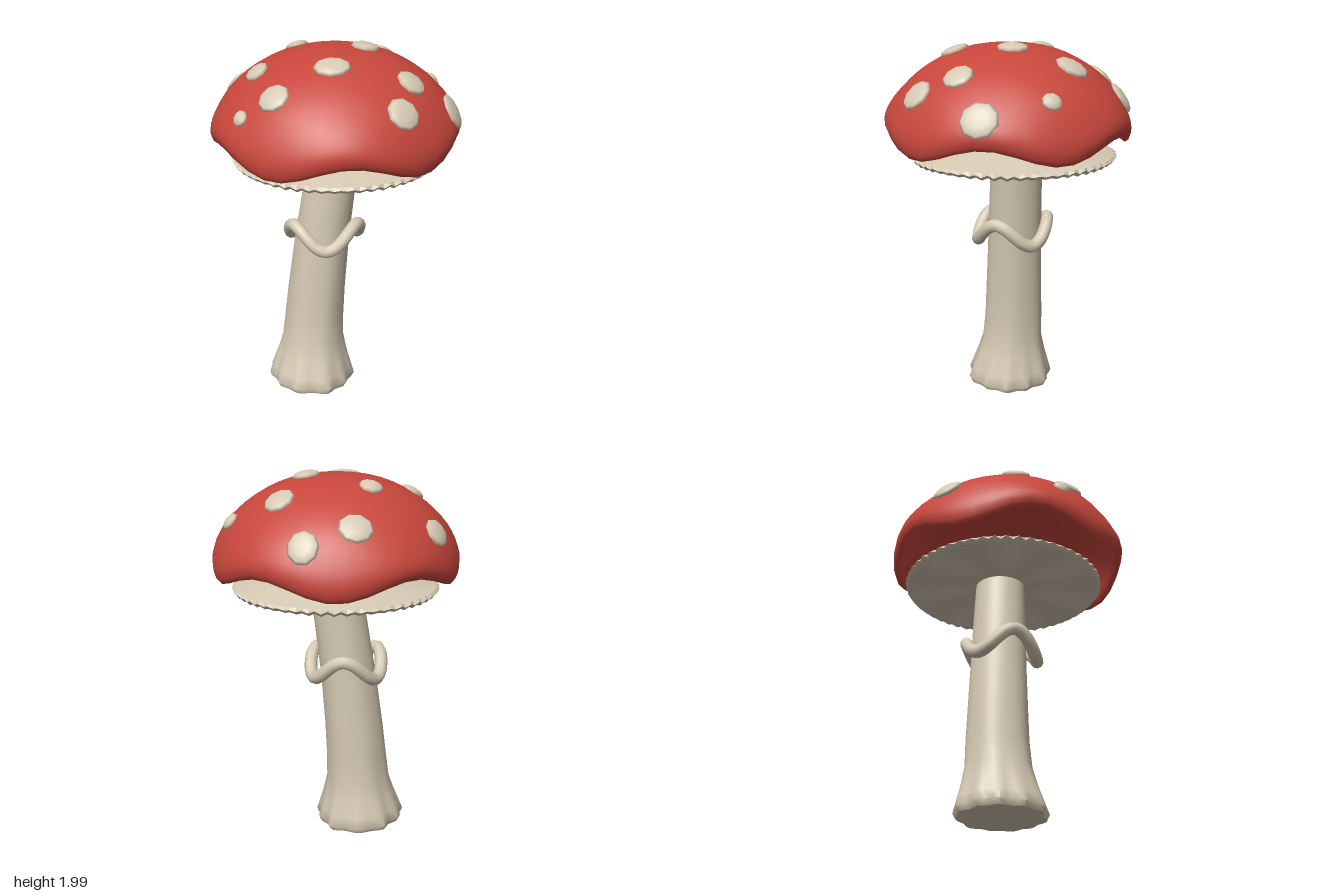
import * as THREE from 'three';
import { toCreasedNormals } from 'three/addons/utils/BufferGeometryUtils.js';

const red = new THREE.MeshStandardMaterial({ name: 'capRed', color: 0xc8473c });
const cream = new THREE.MeshStandardMaterial({ name: 'cream', color: 0xd5c9b3 });

const clamp = THREE.MathUtils.clamp;
const vec = ([x, y]) => new THREE.Vector2(x, y);

// Outer cap profile from lip to crown: radius, height
const capProfile = new THREE.SplineCurve([
  [0.643, 1.5], [0.657, 1.55], [0.64, 1.625], [0.575, 1.735], [0.465, 1.84],
  [0.32, 1.925], [0.17, 1.97], [0, 1.983],
].map(vec)).getPoints(18);

function mesh(name, geometry, material) {
  const m = new THREE.Mesh(geometry, material);
  m.name = name;
  return m;
}

// Lathe whose vertices are moved by rule(point, angle); angle runs from +x to +z
function shapedLathe(points, segments, crease, rule) {
  const geometry = new THREE.LatheGeometry(points, segments);
  const pos = geometry.attributes.position;
  const p = new THREE.Vector3();
  for (let i = 0; i < pos.count; i++) {
    p.fromBufferAttribute(pos, i);
    rule(p, Math.atan2(p.z, p.x), Math.hypot(p.x, p.z));
    pos.setXYZ(i, p.x, p.y, p.z);
  }
  return toCreasedNormals(geometry, crease);
}

// Hollow cap with five drooping lobes round its lip
function makeCap() {
  const inner = [[0, 1.93], [0.2, 1.915], [0.36, 1.85], [0.5, 1.74], [0.585, 1.62],
    [0.608, 1.53], [0.618, 1.5], [0.632, 1.49]].map(vec);
  const geometry = shapedLathe([...inner, ...capProfile], 40, 1.3, (p, a) => {
    const w = clamp((1.76 - p.y) / 0.25, 0, 1);
    const lobe = Math.cos(5 * (a - THREE.MathUtils.degToRad(50)));
    p.y -= 0.044 * w * lobe;
  });
  return mesh('cap', geometry, red);
}

// Height of the cap surface at a given radius
function capHeight(r) {
  for (let i = capProfile.length - 1; i > 0; i--) {
    const a = capProfile[i], b = capProfile[i - 1];
    if (r <= b.x) return THREE.MathUtils.lerp(a.y, b.y, (r - a.x) / (b.x - a.x));
  }
  return 1.55;
}

// Raised spots: x, z, half width, half depth
function makeSpots() {
  const group = new THREE.Group();
  group.name = 'spots';
  const spots = [
    [0.115, -0.585, 0.08, 0.09], [-0.13, -0.51, 0.088, 0.085], [-0.52, -0.26, 0.075, 0.085],
    [-0.19, -0.2, 0.063, 0.07], [0.26, -0.305, 0.083, 0.09], [0.53, -0.18, 0.05, 0.052],
    [0.155, -0.015, 0.075, 0.083], [-0.4, 0.1, 0.065, 0.08], [0.59, 0.17, 0.095, 0.1],
    [-0.03, 0.28, 0.095, 0.078], [0.36, 0.265, 0.08, 0.083], [-0.315, 0.38, 0.083, 0.083],
    [-0.48, 0.35, 0.042, 0.045], [0.3, 0.47, 0.088, 0.088],
  ];
  const geometry = new THREE.SphereGeometry(1, 9, 6);
  for (const [x, z, sx, sz] of spots) {
    const r = Math.hypot(x, z);
    const slope = (capHeight(r - 0.03) - capHeight(r + 0.03)) / 0.06;
    const normal = new THREE.Vector3(x / r * slope, 1, z / r * slope).normalize();
    const spot = mesh('spot', geometry, cream);
    spot.position.set(x, capHeight(r), z);
    spot.scale.set(sx, 0.025, sz);
    spot.quaternion.setFromUnitVectors(new THREE.Vector3(0, 1, 0), normal);
    group.add(spot);
  }
  return group;
}

// Shallow cone with a ridged underside and a toothed edge
function makeGills() {
  const points = [[0, 1.4], [0.12, 1.395], [0.35, 1.385], [0.54, 1.373], [0.553, 1.388],
    [0.54, 1.402], [0.32, 1.457], [0.15, 1.505], [0, 1.507]].map(vec);
  const ridges = 54;
  const geometry = shapedLathe(points, ridges * 2, 0.4, (p, a, r) => {
    const ridge = Math.cos(ridges * (a - Math.PI / 2)) * (1 + 0.5 * Math.sin(7 * a));
    if (p.y < 1.395 && r > 0.2) p.y += 0.006 * ridge;
    if (r > 0.5) {
      const k = 1 + 0.007 * ridge;
      p.x *= k;
      p.z *= k;
    }
    if (p.y > 1.45) p.x += 0.025;
    p.z -= 0.028;
  });
  return mesh('gills', geometry, cream);
}

// Leaning stem with a flared, fluted foot
function makeStem() {
  const points = [[0, 0.016], [0.222, 0.016], [0.238, 0.045], [0.222, 0.1], [0.195, 0.19],
    [0.173, 0.28], [0.165, 0.42], [0.159, 0.6], [0.15, 0.9], [0.143, 1.2], [0.137, 1.37],
    [0.135, 1.46]].map(vec);
  const geometry = shapedLathe(points, 48, 0.9, (p, a) => {
    const y = p.y;
    const foot = clamp(1 - y / 0.3, 0, 1);
    const flute = 0.045 * foot * Math.sin(11 * a + Math.sin(2 * a))
      + 0.018 * Math.sin(6 * a + 1) * clamp(1.3 - y, 0, 1);
    p.x *= 1 + flute;
    p.z *= 1 + flute;
    p.y -= 0.045 * p.x * foot;
    p.x += -0.14 + 0.03 * y + 0.052 * y * y;
    p.z += -0.015 - 0.02 * Math.min(1, y / 0.4) - 0.008 * y;
  });
  return mesh('stem', geometry, cream);
}

// Wavy collar round the stem, three waves
function makeCollar() {
  const path = [];
  for (let i = 0; i < 24; i++) {
    const a = (i / 24) * Math.PI * 2;
    path.push(new THREE.Vector3(
      -0.057 + 0.193 * Math.cos(a),
      0.956 + 0.06 * Math.sin(3 * a),
      -0.028 + 0.193 * Math.sin(a),
    ));
  }
  const curve = new THREE.CatmullRomCurve3(path, true);
  return mesh('collar', new THREE.TubeGeometry(curve, 72, 0.035, 10, true), cream);
}

export function createModel() {
  const model = new THREE.Group();
  model.name = 'mushroom';
  model.add(makeCap(), makeSpots(), makeGills(), makeStem(), makeCollar());
  return model;
}
